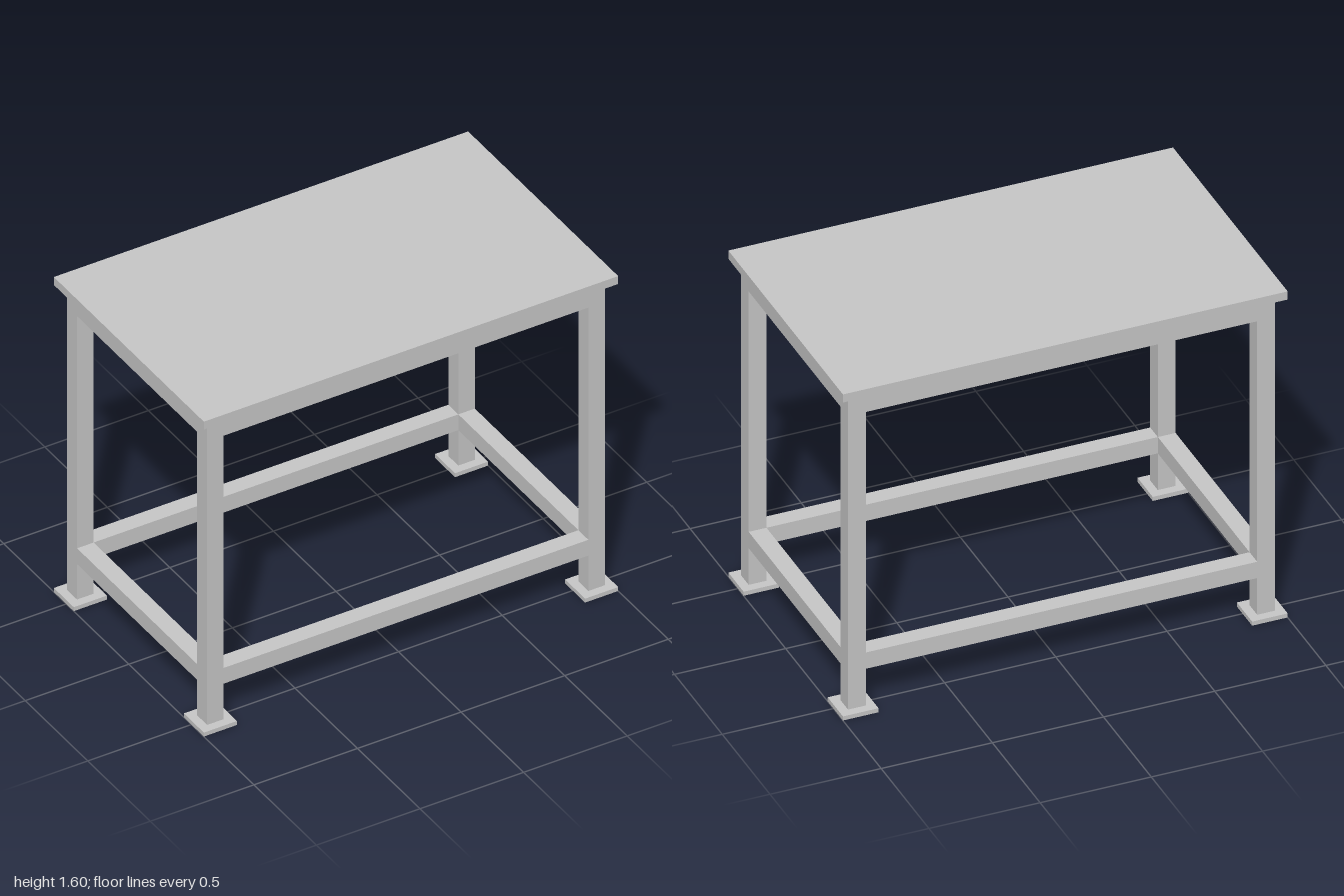
import * as THREE from 'three';

export function createModel() {
  const model = new THREE.Group();
  model.name = 'workTable';

  const steel = new THREE.MeshStandardMaterial({ color: 0xc8c8c8 });
  steel.name = 'light grey steel';

  const tube = 0.08;             // square tube width
  const legX = 0.92, legZ = 0.52; // leg centre lines
  const frameTop = 1.54;

  // Box given by its size, centre in plan and underside height
  function addBox(name, w, h, d, x, bottom, z) {
    const mesh = new THREE.Mesh(new THREE.BoxGeometry(w, h, d), steel);
    mesh.name = name;
    mesh.position.set(x, bottom + h / 2, z);
    model.add(mesh);
  }

  // Table top, held just clear of the frame
  addBox('tableTop', 2, 0.04, 1.2, 0, 1.56, 0);

  // Legs on square foot plates
  for (const sx of [-1, 1]) {
    for (const sz of [-1, 1]) {
      const corner = (sz > 0 ? 'front' : 'back') + (sx > 0 ? 'Left' : 'Right');
      addBox(corner + 'Leg', tube, frameTop - 0.02, tube, sx * legX, 0.02, sz * legZ);
      addBox(corner + 'FootPlate', 0.16, 0.02, 0.16, sx * legX, 0, sz * legZ);
    }
  }

  // Upper and lower rails between the legs
  for (const [level, bottom] of [['upper', frameTop - tube], ['lower', 0.2]]) {
    for (const s of [-1, 1]) {
      addBox(level + (s > 0 ? 'Front' : 'Back') + 'Rail',
        2 * legX - tube, tube, tube, 0, bottom, s * legZ);
      addBox(level + (s > 0 ? 'Left' : 'Right') + 'Rail',
        tube, tube, 2 * legZ - tube, s * legX, bottom, 0);
    }
  }

  return model;
}
